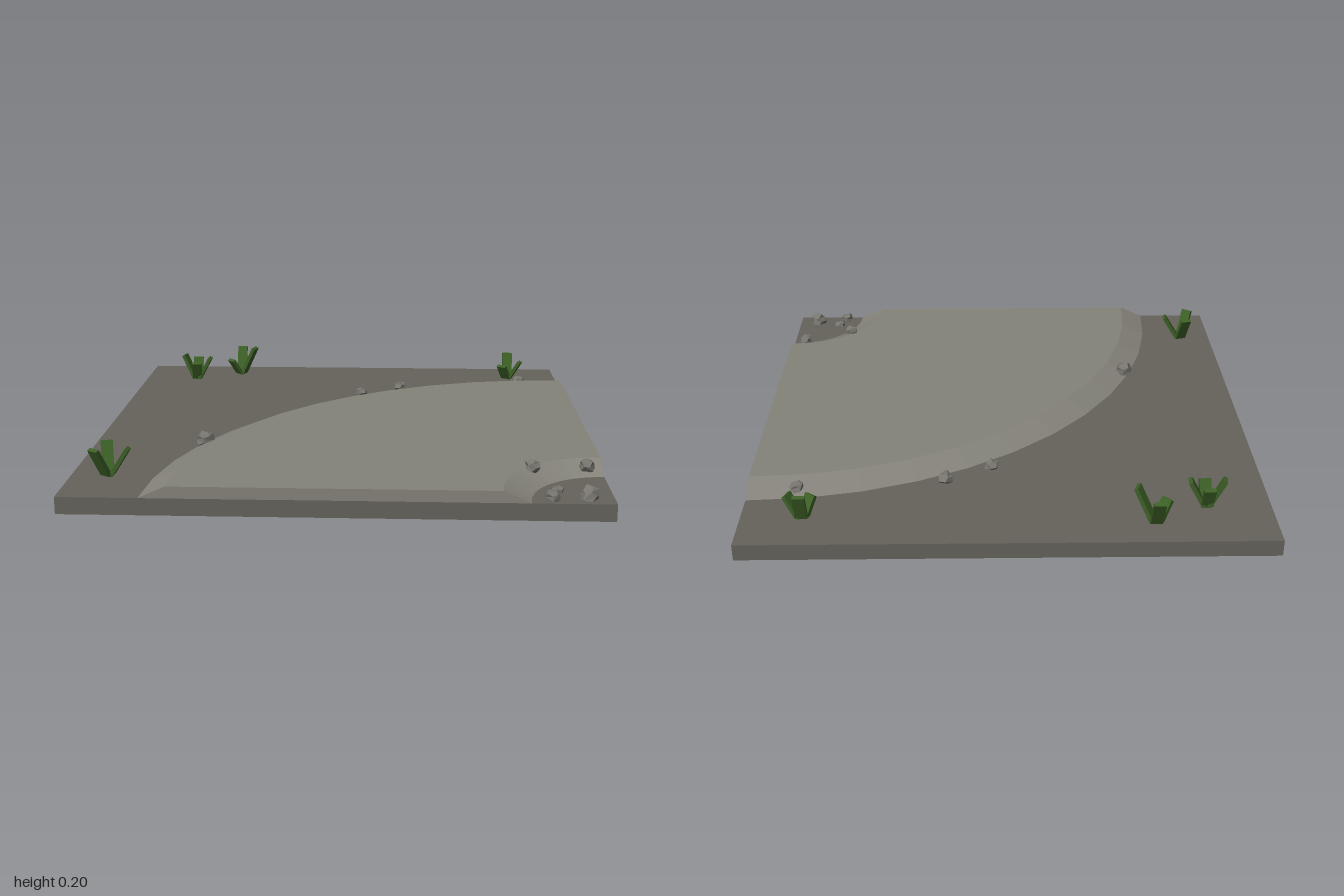
import * as THREE from 'three';

const GROUND = 0.065, PATH = 0.11;
const INNER = 0.3, OUTER = 1.7, BEVEL = 0.1; // path radii about the corner (1, 1)

const mat = (color, side = THREE.FrontSide) =>
  new THREE.MeshStandardMaterial({ color, side, flatShading: true });

function seeded(seed) {
  let s = seed;
  return () => (s = (s * 16807) % 2147483647) / 2147483647;
}

// Surface height at a place on the tile, following the path bevels
function heightAt(x, z) {
  const r = Math.hypot(1 - x, 1 - z);
  const t = Math.min(r - INNER, OUTER - r) / BEVEL;
  return GROUND + (PATH - GROUND) * THREE.MathUtils.clamp(t, 0, 1);
}

// Quarter-circle raised path with bevelled banks and cut ends
function makePath() {
  const path = new THREE.Group();
  path.name = 'curvedPath';
  const material = mat(0x85837a, THREE.DoubleSide);
  const profile = [
    new THREE.Vector2(OUTER, GROUND), new THREE.Vector2(OUTER - BEVEL, PATH),
    new THREE.Vector2(INNER + BEVEL, PATH), new THREE.Vector2(INNER, GROUND),
  ];
  const top = new THREE.Mesh(new THREE.LatheGeometry(profile, 12, Math.PI, Math.PI / 2), material);
  top.name = 'pathSurface';
  top.position.set(1, 0, 1);
  path.add(top);

  const section = new THREE.ShapeGeometry(new THREE.Shape(profile));
  const frontEnd = new THREE.Mesh(section, material);
  frontEnd.name = 'pathFrontEnd';
  frontEnd.position.set(1, 0, 1);
  frontEnd.rotation.y = Math.PI;
  const sideEnd = new THREE.Mesh(section, material);
  sideEnd.name = 'pathSideEnd';
  sideEnd.position.set(1, 0, 1);
  sideEnd.rotation.y = Math.PI / 2;
  path.add(frontEnd, sideEnd);
  return path;
}

// Irregular faceted stone
function makeRock(size, seed, material) {
  const geo = new THREE.DodecahedronGeometry(size, 0);
  const rand = seeded(seed * 977 + 13);
  const moved = new Map();
  const p = geo.attributes.position;
  const v = new THREE.Vector3();
  for (let i = 0; i < p.count; i++) {
    v.fromBufferAttribute(p, i);
    const key = v.toArray().map((n) => Math.round(n * 1e4)).join();
    if (!moved.has(key)) moved.set(key, 0.75 + 0.4 * rand());
    v.multiplyScalar(moved.get(key));
    p.setXYZ(i, v.x, v.y * 0.85, v.z);
  }
  geo.computeVertexNormals();
  const rock = new THREE.Mesh(geo, material);
  rock.rotation.y = rand() * Math.PI * 2;
  return rock;
}

// Tuft of leaning blades; each blade is [tip dx, tip dz, tip height]
function makeTuft(x, z, blades, material) {
  const tuft = new THREE.Group();
  tuft.name = 'grassTuft';
  tuft.position.set(x, GROUND - 0.005, z);
  for (const [dx, dz, h] of blades) {
    const reach = Math.hypot(dx, dz);
    const length = Math.hypot(reach, h);
    const geo = new THREE.BoxGeometry(0.046, length, 0.016);
    geo.translate(0, length / 2, 0);
    const blade = new THREE.Mesh(geo, material);
    blade.name = 'grassBlade';
    blade.rotation.set(Math.atan2(reach, h), Math.atan2(dx, dz), 0, 'YXZ');
    blade.position.set(dx * 0.12, 0, dz * 0.12);
    tuft.add(blade);
  }
  return tuft;
}

export function createModel() {
  const model = new THREE.Group();
  model.name = 'pathCornerTile';

  // Ground slab
  const slab = new THREE.Mesh(new THREE.BoxGeometry(2, GROUND, 2), mat(0x65635b));
  slab.name = 'groundSlab';
  slab.position.y = GROUND / 2;
  model.add(slab, makePath());

  // Stones: x, z, radius
  const rockMat = mat(0x77756e);
  [
    [0.06, -0.47, 0.032], [0.24, -0.57, 0.035], [0.81, -0.65, 0.03],
    [-0.55, 0.35, 0.038], [0.73, 0.73, 0.034], [0.94, 0.66, 0.036],
    [0.8, 0.89, 0.025], [0.775, 0.96, 0.032], [0.91, 0.94, 0.04],
  ].forEach(([x, z, size], i) => {
    const rock = makeRock(size, i + 1, rockMat);
    rock.name = 'rock';
    rock.position.set(x, heightAt(x, z) + size * 0.4, z);
    model.add(rock);
  });

  // Grass tufts around the outer ground
  const grassMat = mat(0x3c5f26);
  [
    [-0.86, 0.745, [[-0.015, -0.06, 0.12], [-0.035, 0.055, 0.12], [0.07, 0.005, 0.11]]],
    [-0.755, -0.755, [[0.06, 0.005, 0.11], [-0.055, -0.01, 0.12], [0.005, 0.045, 0.09], [0, -0.045, 0.1]]],
    [-0.55, -0.865, [[0, -0.065, 0.125], [0.065, 0.025, 0.14], [-0.04, 0.035, 0.08]]],
    [0.77, -0.815, [[0, -0.045, 0.12], [0.05, 0.02, 0.09], [-0.03, 0.04, 0.075]]],
  ].forEach(([x, z, blades]) => model.add(makeTuft(x, z, blades, grassMat)));

  return model;
}
